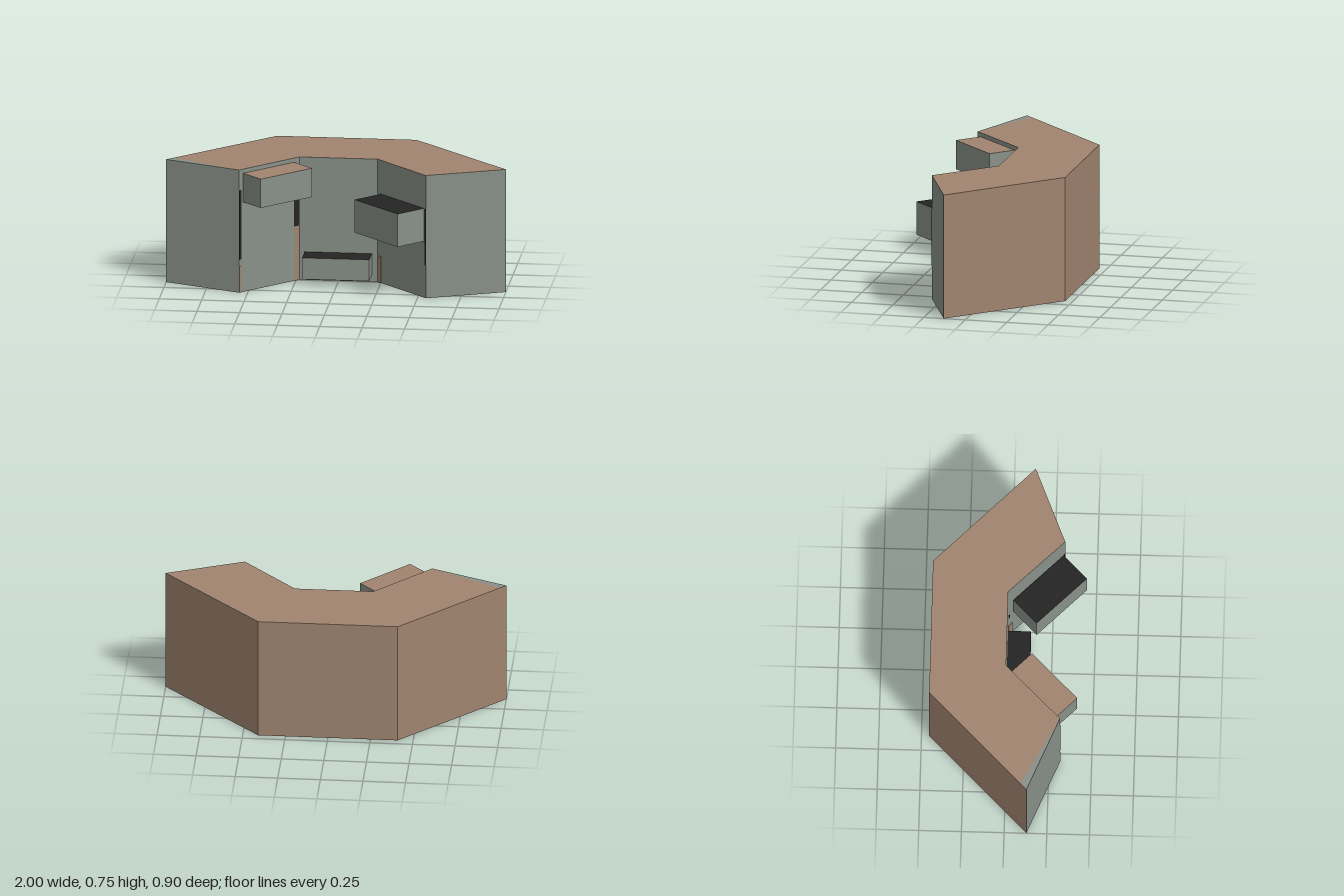
import * as THREE from 'three';

const paint = (name, color, side = THREE.FrontSide) => {
  const m = new THREE.MeshStandardMaterial({ color, side });
  m.name = name;
  return m;
};

export function createModel() {
  const root = new THREE.Group();
  root.name = 'cornerCabinet';
  const wood = paint('brown wood', 0xa0846f, THREE.DoubleSide);
  const grey = paint('grey front', 0x899089, THREE.DoubleSide);
  const black = paint('black', 0x242424);
  const H = 0.745;

  const add = (name, geometry, material) => {
    const mesh = new THREE.Mesh(geometry, material);
    mesh.name = name;
    root.add(mesh);
    return mesh;
  };

  // Footprint [x, z], walking along the back and returning along the front
  const plan = [
    [-1, 0.13], [-0.41, -0.455], [0.41, -0.455], [1, 0.13],
    [0.55, 0.315], [0.23, -0.01], [-0.23, -0.01], [-0.55, 0.315],
  ];

  // Thin upright walls; the shell is open underneath
  const names = ['rightBack', 'back', 'leftBack', 'leftEnd', 'leftFront', 'middleFront', 'rightFront', 'rightEnd'];
  plan.forEach(([ax, az], i) => {
    const [bx, bz] = plan[(i + 1) % plan.length];
    const g = new THREE.BufferGeometry();
    g.setAttribute('position', new THREE.Float32BufferAttribute(
      [ax, 0, az, ax, H, az, bx, H, bz, bx, 0, bz], 3));
    g.setIndex([0, 1, 2, 0, 2, 3]);
    g.computeVertexNormals();
    add(names[i] + 'Panel', g, i < 3 ? wood : grey);
  });

  // Flat top, with a narrow grey wedge along the right end
  const slab = (name, points, material) => {
    const shape = new THREE.Shape(points.map(([x, z]) => new THREE.Vector2(x, -z)));
    const mesh = add(name, new THREE.ShapeGeometry(shape).rotateX(-Math.PI / 2), material);
    mesh.position.y = H;
  };
  slab('top', [[-0.965, 0.095], ...plan.slice(1)], wood);
  slab('topWedge', [plan[0], plan[7], [-0.965, 0.095]], grey);

  // Pulled-out drawers: centre, size, turn and top material
  const drawer = (name, [x, y, z], [w, h, d], turn, top) => {
    const mesh = add(name, new THREE.BoxGeometry(w, h, d), [grey, grey, top, wood, grey, grey]);
    mesh.position.set(x, y, z);
    mesh.rotation.y = turn;
  };
  drawer('rightDrawer', [-0.3375, 0.6325, 0.2145], [0.385, 0.175, 0.173], Math.PI / 4, wood);
  drawer('middleDrawer', [-0.0025, 0.105, 0.0575], [0.395, 0.13, 0.135], 0, black);
  drawer('leftDrawer', [0.325, 0.4425, 0.2325], [0.404, 0.2, 0.198], -Math.PI / 4, black);

  // Narrow gap strips at the panel edges: x, z, width, bottom, top
  const strip = (name, x, z, w, y0, y1, turn, material) => {
    const mesh = add(name, new THREE.BoxGeometry(w, y1 - y0, 0.006), material);
    mesh.position.set(x, (y0 + y1) / 2, z);
    mesh.rotation.y = turn;
  };
  const q = Math.PI / 4;
  strip('outerGap', -0.545, 0.31, 0.014, 0.2, 0.62, q, black);
  strip('outerEdge', -0.545, 0.31, 0.014, 0, 0.16, q, wood);
  strip('innerGap', -0.247, 0.0073, 0.038, 0.33, 0.54, q, black);
  strip('innerEdge', -0.245, 0.0052, 0.036, 0, 0.33, q, wood);
  strip('leftInnerEdge', 0.242, 0.0022, 0.03, 0, 0.16, -q, wood);
  strip('leftInnerGap', 0.234, -0.006, 0.01, 0.29, 0.33, -q, black);
  strip('leftOuterGap', 0.546, 0.311, 0.01, 0.2, 0.54, -q, black);
  return root;
}
